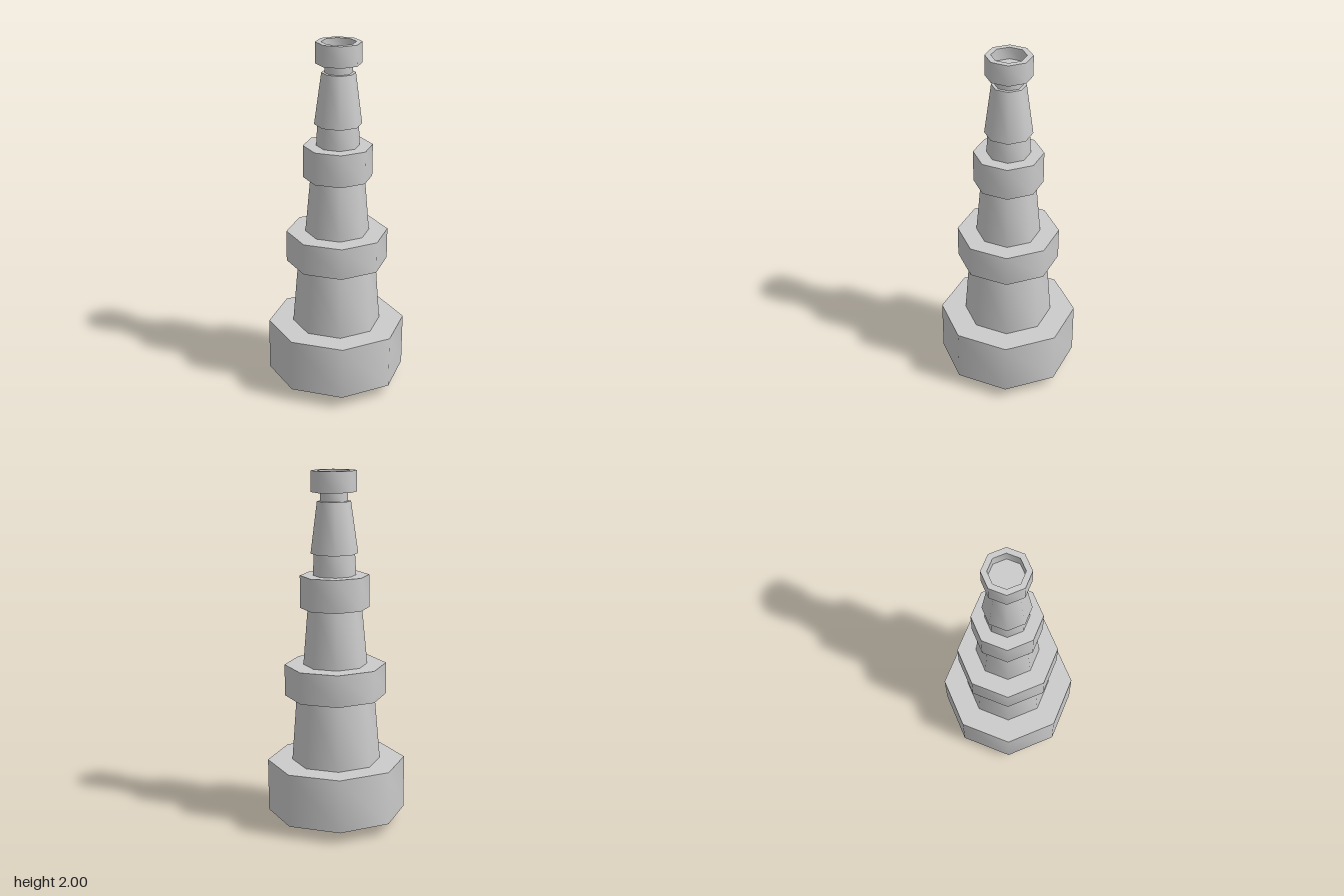
import * as THREE from 'three';
import { toCreasedNormals } from 'three/addons/utils/BufferGeometryUtils.js';

const SIDES = 8;

export function createModel() {
  const model = new THREE.Group();
  const spyglass = new THREE.Group();
  spyglass.name = 'spyglass';
  // the whole telescope leans by a fraction of a degree
  spyglass.rotation.set(-0.004, 0, -0.0085);
  model.add(spyglass);

  const material = new THREE.MeshStandardMaterial({ color: 0xcccccc });

  // eight-sided turned part; profile is [radius, height], outside on the right going up
  function turned(name, profile) {
    const points = profile.map(([r, y]) => new THREE.Vector2(r, y));
    const geometry = toCreasedNormals(new THREE.LatheGeometry(points, SIDES), 1.05);
    const mesh = new THREE.Mesh(geometry, material);
    mesh.name = name;
    spyglass.add(mesh);
  }

  // solid drum or tapered tube with flat ends
  function drum(name, y0, y1, r0, r1 = r0) {
    turned(name, [[0, y0], [r0, y0], [r1, y1], [0, y1]]);
  }

  // front lens, bulging out of its recessed housing
  turned('frontLens', [[0, 0.005], [0.22, 0.06], [0.316, 0.115]]);
  turned('lensHousing', [
    [0.316, 0.14], [0.316, 0.072], [0.389, 0.072], [0.389, 0.372], [0, 0.372],
  ]);

  // telescoping tubes and the collars between them
  drum('largeTube', 0.37, 0.76, 0.25, 0.219);
  drum('largeCollar', 0.75, 0.928, 0.285);
  drum('middleTube', 0.92, 1.26, 0.18, 0.15);
  drum('smallCollar', 1.248, 1.43, 0.192);
  drum('smallTube', 1.42, 1.56, 0.12, 0.113);
  drum('eyepieceTube', 1.55, 1.835, 0.131, 0.093);
  drum('eyepieceNeck', 1.82, 1.9, 0.076);

  // eyepiece ring with a shallow cup
  turned('eyepiece', [
    [0, 1.885], [0.126, 1.885], [0.126, 2], [0.094, 2], [0.094, 1.935], [0, 1.935],
  ]);

  return model;
}
